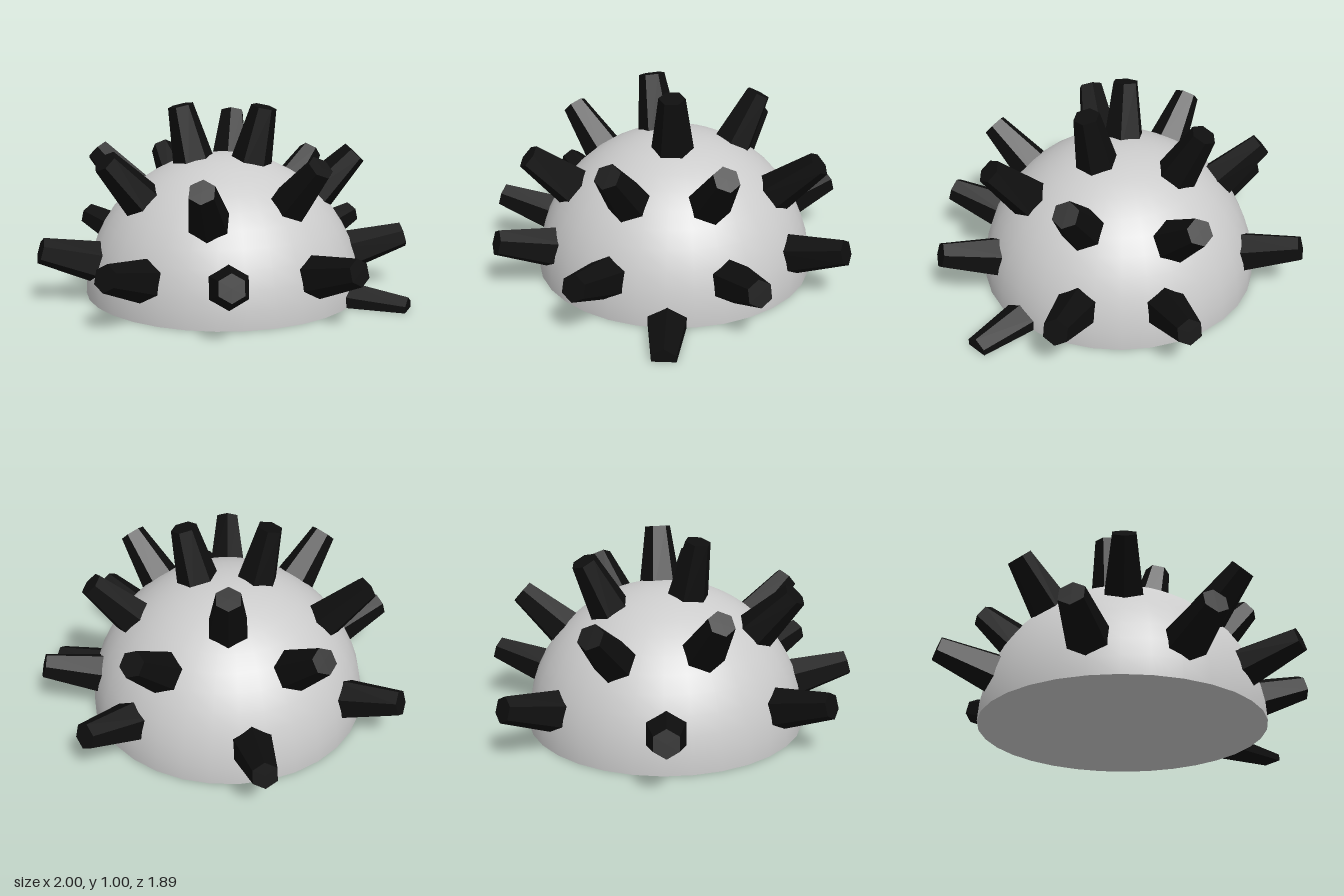
import * as THREE from 'three';

const CENTER = new THREE.Vector3(-0.02, 0, -0.03);
const RADIUS = 0.735;

// Tip centre of every spike, and an optional twist about its axis
const SPIKE_TIPS = [
  // crown
  [0.21, 0.98, -0.03, Math.PI / 6], [-0.2, 0.98, 0.1], [-0.16, 0.9, -0.46],
  // middle ring
  [0.21, 0.66, -0.76], [-0.64, 0.68, -0.49], [-0.7, 0.71, 0.1], [-0.38, 0.73, 0.54],
  [0.21, 0.66, 0.69], [0.61, 0.73, 0.24], [0.61, 0.73, -0.3],
  // low ring
  [0.42, 0.28, -0.9], [-0.47, 0.28, -0.89], [-0.98, 0.28, -0.2], [-0.71, 0.28, 0.64],
  [-0.16, 0.28, 0.93], [0.42, 0.28, 0.83], [0.84, 0.28, 0.37], [0.84, 0.28, -0.46],
  // ground spike
  [1.0, 0, -0.04],
];

// Six-sided tapered stud pointing outward, one corner upward, cut off at the ground
function makeSpike([x, y, z, twist = 0], material) {
  const dir = new THREE.Vector3(x, y, z).sub(CENTER).normalize();
  const side = new THREE.Vector3().crossVectors(dir, new THREE.Vector3(0, 1, 0)).normalize();
  const up = new THREE.Vector3().crossVectors(side, dir);
  const start = 0.64, end = 1.015;
  const geometry = new THREE.CylinderGeometry(0.067, 0.12, end - start, 6);
  geometry.rotateY(twist);
  geometry.translate(0, (start + end) / 2, 0);
  geometry.applyMatrix4(new THREE.Matrix4().makeBasis(
    new THREE.Vector3().crossVectors(dir, up), dir, up));
  geometry.translate(CENTER.x, CENTER.y, CENTER.z);
  const p = geometry.attributes.position;
  for (let i = 0; i < p.count; i++) p.setY(i, Math.max(0, p.getY(i)));
  const flat = geometry.toNonIndexed();
  flat.computeVertexNormals();
  const mesh = new THREE.Mesh(flat, material);
  mesh.name = 'spike';
  return mesh;
}

export function createModel() {
  const group = new THREE.Group();
  group.name = 'spikedDome';
  const grey = new THREE.MeshStandardMaterial({ color: 0xcccccc });
  const black = new THREE.MeshStandardMaterial({ color: 0x0e0e0e });

  // Smooth half-sphere shell
  const dome = new THREE.Mesh(
    new THREE.SphereGeometry(RADIUS, 32, 12, 0, Math.PI * 2, 0, Math.PI / 2), grey);
  dome.name = 'dome';
  dome.position.copy(CENTER);

  // Flat underside
  const base = new THREE.Mesh(new THREE.CircleGeometry(RADIUS, 32).rotateX(Math.PI / 2), grey);
  base.name = 'underside';
  base.position.copy(CENTER);
  group.add(dome, base);

  const spikes = new THREE.Group();
  spikes.name = 'spikes';
  for (const tip of SPIKE_TIPS) spikes.add(makeSpike(tip, black));
  group.add(spikes);
  return group;
}
